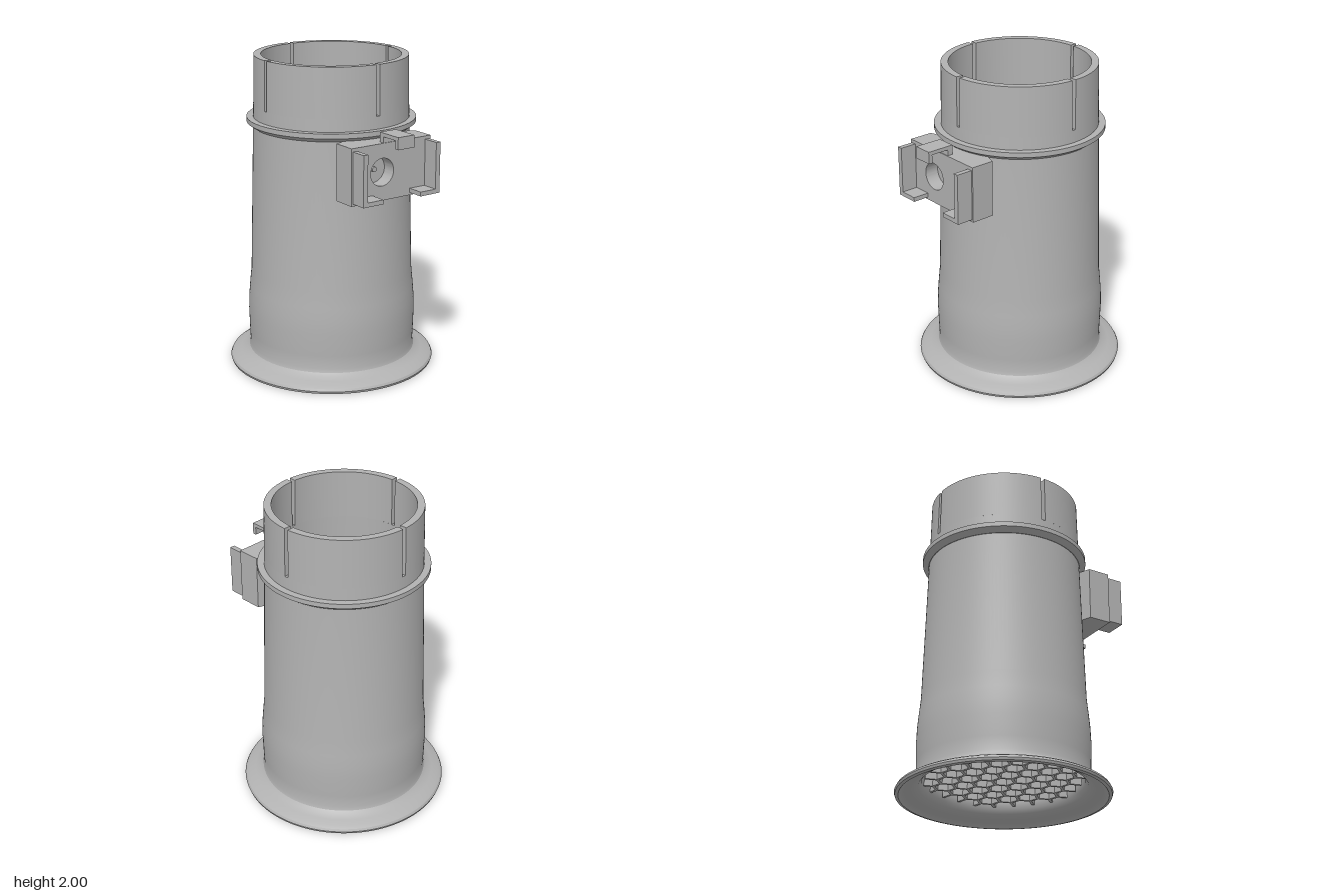
import * as THREE from 'three';
import { mergeGeometries, toCreasedNormals } from 'three/addons/utils/BufferGeometryUtils.js';

const AXIS_X = -0.05; // tube axis

export function createModel() {
  const model = new THREE.Group();
  const grey = new THREE.MeshStandardMaterial({ color: 0xb2b2b2 });
  grey.name = 'grey plastic';

  const add = (name, geometry, parent = model) => {
    const mesh = new THREE.Mesh(geometry, grey);
    mesh.name = name;
    parent.add(mesh);
    return mesh;
  };
  const box = (x0, x1, y0, y1, z0, z1) => {
    const g = new THREE.BoxGeometry(x1 - x0, y1 - y0, z1 - z0);
    return g.translate((x0 + x1) / 2, (y0 + y1) / 2, (z0 + z1) / 2);
  };
  const lathe = (points) => toCreasedNormals(
    new THREE.LatheGeometry(points.map(([r, y]) => new THREE.Vector2(r, y)), 128), 0.5);

  const tube = new THREE.Group();
  tube.name = 'tube';
  tube.position.x = AXIS_X;
  model.add(tube);

  // Hollow body with a flared foot: up the outside, down the inside
  add('body', lathe([
    [0.635, 0], [0.655, 0.005], [0.66, 0.02], [0.652, 0.035], [0.63, 0.048],
    [0.59, 0.06], [0.555, 0.075], [0.537, 0.092], [0.53, 0.115],
    [0.533, 0.2], [0.537, 0.34], [0.534, 0.43], [0.527, 0.51], [0.516, 0.62],
    [0.49, 1.55], [0.486, 1.69],
    [0.44, 1.69], [0.445, 1.55], [0.47, 0.62], [0.49, 0.43], [0.493, 0.3],
    [0.488, 0.13], [0.495, 0.09], [0.515, 0.062], [0.56, 0.038], [0.6, 0.025],
    [0.625, 0.012], [0.635, 0],
  ]), tube);

  // Collar below the socket
  add('collar', lathe([
    [0.47, 1.555], [0.493, 1.555], [0.53, 1.582], [0.53, 1.612], [0.47, 1.612],
  ]), tube);

  // Socket: four curved walls with slots between them
  const gap = 0.027;
  const arc = new THREE.Shape();
  arc.absarc(0, 0, 0.486, gap, Math.PI / 2 - gap, false);
  arc.absarc(0, 0, 0.44, Math.PI / 2 - gap, gap, true);
  for (let i = 0; i < 4; i++) {
    const g = new THREE.ExtrudeGeometry(arc, { depth: 0.31, bevelEnabled: false, curveSegments: 32 });
    g.rotateX(-Math.PI / 2).rotateY(i * Math.PI / 2).translate(0, 1.69, 0);
    const p = g.attributes.position;
    for (let v = 0; v < p.count; v++) { // slight taper towards the top
      const s = 1 - 0.04 * (p.getY(v) - 1.69);
      p.setX(v, p.getX(v) * s);
      p.setZ(v, p.getZ(v) * s);
    }
    add('socketWall', toCreasedNormals(g, 0.5), tube);
  }

  // Honeycomb screen: three bars for each cell of a tilted hexagonal grid
  const pitch = 0.125, side = pitch / Math.sqrt(3), tilt = 0.24;
  const bars = [];
  for (let row = -6; row <= 6; row++) {
    for (let col = -9; col <= 9; col++) {
      const cx = (col + row / 2) * pitch, cz = row * pitch * Math.sqrt(3) / 2;
      for (let k = 0; k < 3; k++) {
        const a = k * Math.PI / 3;
        const x = cx + Math.cos(a) * pitch / 2, z = cz + Math.sin(a) * pitch / 2;
        if (Math.hypot(x, z) > 0.487) continue;
        bars.push(new THREE.BoxGeometry(0.018, 0.07, side + 0.008).rotateY(-a).translate(x, 0.135, z));
      }
    }
  }
  add('honeycombScreen', mergeGeometries(bars).rotateY(tilt), tube);

  // Bracket on the left side
  const bracket = new THREE.Group();
  bracket.name = 'bracket';
  model.add(bracket);

  // Root that joins the bracket to the tube; drawn in x and -z
  const root = new THREE.Shape([
    [0.48, -0.295], [0.48, 0.295], [0.42, 0.295], [0.385, 0.2], [0.385, -0.2], [0.42, -0.295],
  ].map(([x, z]) => new THREE.Vector2(x, z)));
  add('bracketRoot', new THREE.ExtrudeGeometry(root, { depth: 0.35, bevelEnabled: false })
    .rotateX(-Math.PI / 2).translate(0, 1.21, 0), bracket);

  // Face plate with a round recess; drawn in -z and y
  const plate = new THREE.Shape([
    [-0.295, 1.21], [0.295, 1.21], [0.295, 1.56], [-0.295, 1.56],
  ].map(([x, y]) => new THREE.Vector2(x, y)));
  const hole = new THREE.Path();
  hole.absarc(-0.07, 1.385, 0.085, 0, Math.PI * 2, true);
  plate.holes.push(hole);
  add('bracketPlate', toCreasedNormals(
    new THREE.ExtrudeGeometry(plate, { depth: 0.09, bevelEnabled: false, curveSegments: 32 })
      .rotateY(Math.PI / 2).translate(0.48, 0, 0), 0.5), bracket);
  add('recessPip', toCreasedNormals(new THREE.CylinderGeometry(0.016, 0.016, 0.02, 20), 0.5)
    .rotateZ(-Math.PI / 2).translate(0.485, 1.385, 0.07), bracket);

  // L-shaped rails on both ends
  for (const s of [1, -1]) {
    const mirrored = (x0, x1, y0, y1, z0, z1) =>
      s > 0 ? box(x0, x1, y0, y1, z0, z1) : box(x0, x1, y0, y1, -z1, -z0);
    add('railWall', mirrored(0.56, 0.675, 1.225, 1.54, 0.253, 0.285), bracket);
    add('railFoot', mirrored(0.56, 0.675, 1.225, 1.252, 0.14, 0.253), bracket);
  }

  // Hooked clip on top
  add('clipPost', box(0.53, 0.565, 1.55, 1.6, -0.06, 0.06), bracket);
  add('clipArm', box(0.53, 0.705, 1.597, 1.62, -0.06, 0.06), bracket);
  add('clipHook', box(0.68, 0.705, 1.545, 1.6, -0.06, 0.06), bracket);

  return model;
}
